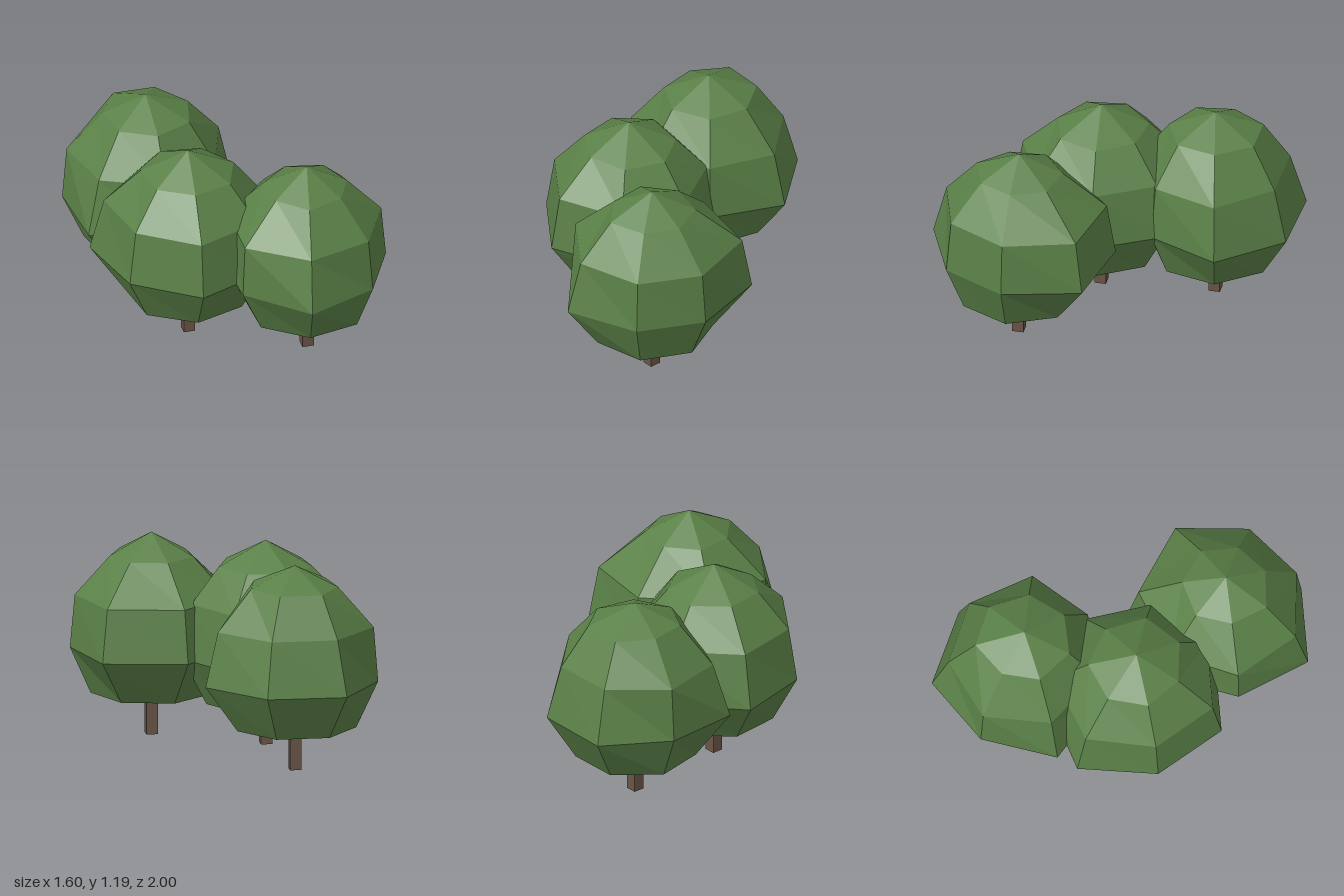
import * as THREE from 'three';

const SIDES = 7;

// Each tree: trunk position, first corner angle (degrees, from +x towards +z), apex height,
// then the radius at each corner of the widest ring, the shoulder and the crown
const TREES = [
  { name: 'backTree', x: -0.34, z: -0.52, turn: -12.2, top: 1.19, shoulderY: 0.838, crownY: 1.07,
    widest: [0.545, 0.46, 0.48, 0.55, 0.475, 0.53, 0.52],
    shoulder: [0.47, 0.43, 0.44, 0.45, 0.45, 0.435, 0.435],
    crown: [0.27, 0.27, 0.27, 0.26, 0.245, 0.28, 0.28] },
  { name: 'middleTree', x: -0.275, z: 0.13, turn: -6.5, top: 1.188, shoulderY: 0.838, crownY: 1.045,
    widest: [0.49, 0.5, 0.53, 0.494, 0.56, 0.52, 0.51],
    shoulder: [0.44, 0.45, 0.475, 0.445, 0.48, 0.47, 0.45],
    crown: [0.28, 0.275, 0.26, 0.265, 0.27, 0.275, 0.27] },
  { name: 'frontTree', x: 0.33, z: 0.47, turn: -0.5, top: 1.178, shoulderY: 0.828, crownY: 1.048,
    widest: [0.47, 0.46, 0.54, 0.488, 0.5, 0.55, 0.57],
    shoulder: [0.442, 0.43, 0.457, 0.473, 0.46, 0.5, 0.515],
    crown: [0.238, 0.24, 0.265, 0.235, 0.25, 0.25, 0.25] },
];

// Faceted canopy shell, open at the bottom, skinned over rings up to the apex
function canopyGeometry({ turn, top, shoulderY, crownY, widest, shoulder, crown }) {
  const levels = [
    [0.25, Array(SIDES).fill(0.35)], // open rim
    [0.522, widest],
    [shoulderY, shoulder],
    [crownY, crown],
    [top, Array(SIDES).fill(0)],     // apex
  ];
  const rings = levels.map(([y, radii]) => radii.map((r, k) => {
    const a = THREE.MathUtils.degToRad(turn + (k * 360) / SIDES);
    return [Math.cos(a) * r, y, Math.sin(a) * r];
  }));
  const points = [];
  for (let j = 0; j < rings.length - 1; j++) {
    for (let k = 0; k < SIDES; k++) {
      const n = (k + 1) % SIDES;
      const a = rings[j][k], b = rings[j][n], c = rings[j + 1][n], d = rings[j + 1][k];
      points.push(...a, ...c, ...b);
      if (j < rings.length - 2) points.push(...a, ...d, ...c);
    }
  }
  const geometry = new THREE.BufferGeometry();
  geometry.setAttribute('position', new THREE.Float32BufferAttribute(points, 3));
  geometry.computeVertexNormals(); // unshared corners keep the facets flat
  return geometry;
}

export function createModel() {
  const leaves = new THREE.MeshStandardMaterial({ color: 0x5a8047, side: THREE.DoubleSide });
  leaves.name = 'leafGreen';
  const bark = new THREE.MeshStandardMaterial({ color: 0x6a5446 });
  bark.name = 'barkBrown';

  const model = new THREE.Group();
  model.name = 'treeCluster';
  const trunkGeometry = new THREE.BoxGeometry(0.066, 0.345, 0.066).translate(0, 0.1725, 0);

  for (const tree of TREES) {
    const group = new THREE.Group();
    group.name = tree.name;
    group.position.set(tree.x, 0, tree.z);

    const trunk = new THREE.Mesh(trunkGeometry, bark);
    trunk.name = 'trunk';
    const canopy = new THREE.Mesh(canopyGeometry(tree), leaves);
    canopy.name = 'canopy';

    group.add(trunk, canopy);
    model.add(group);
  }
  return model;
}
